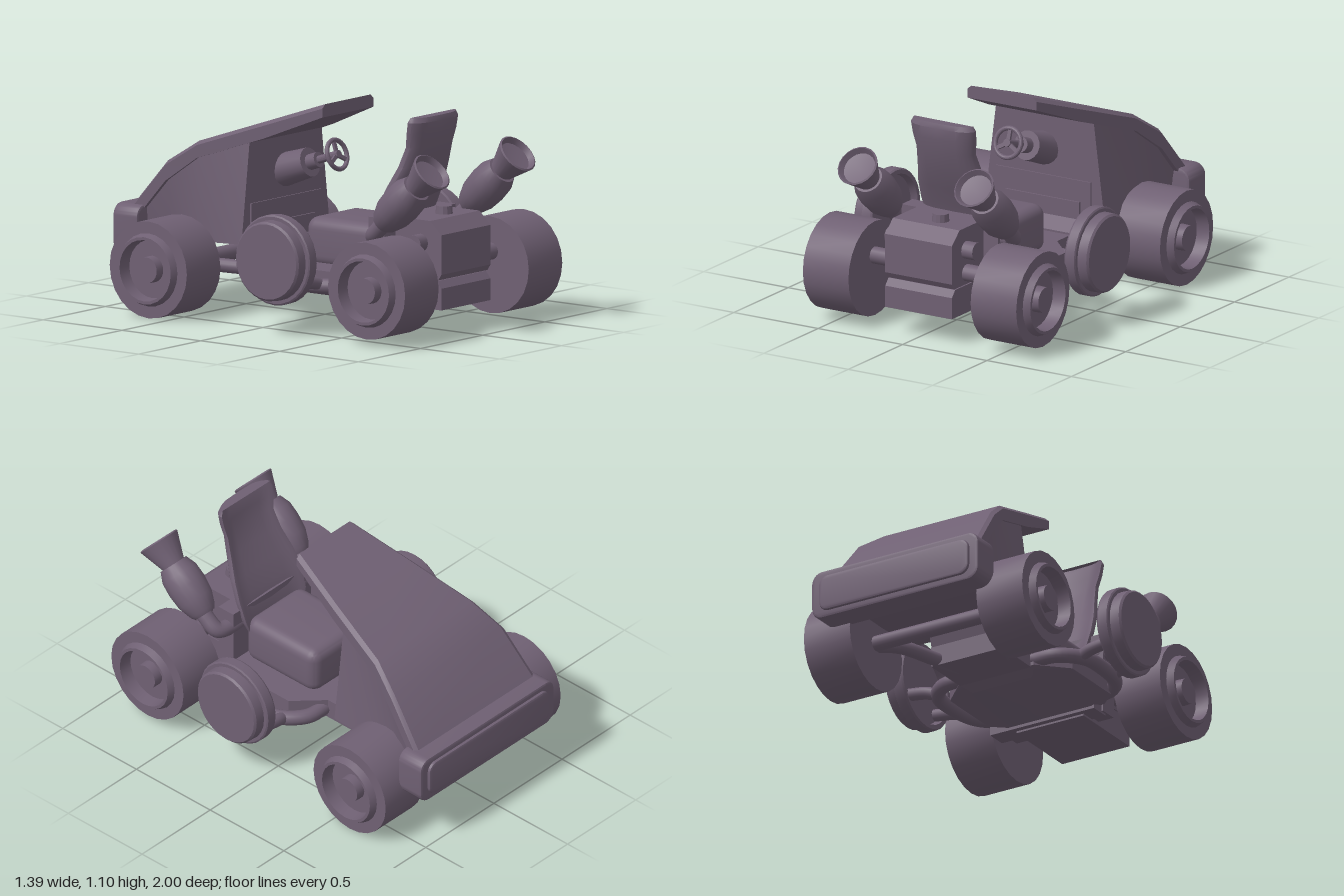
import * as THREE from 'three';
import { toCreasedNormals } from 'three/addons/utils/BufferGeometryUtils.js';
import { RoundedBoxGeometry } from 'three/addons/geometries/RoundedBoxGeometry.js';

const paint = new THREE.MeshStandardMaterial({ color: 0x6f6073 });
paint.name = 'dusty purple';
const CX = 0.025; // bodywork sits slightly off the wheel centreline

export function createModel() {
  const model = new THREE.Group();
  model.name = 'kart';

  const add = (name, geo, x = 0, y = 0, z = 0, parent = model) => {
    const m = new THREE.Mesh(toCreasedNormals(geo, 0.5), paint);
    m.name = name;
    m.position.set(x, y, z);
    parent.add(m);
    return m;
  };
  const box = (name, x0, x1, y0, y1, z0, z1) =>
    add(name, new THREE.BoxGeometry(x1 - x0, y1 - y0, z1 - z0), (x0 + x1) / 2, (y0 + y1) / 2, (z0 + z1) / 2);
  const lathe = (pts, n = 24) => new THREE.LatheGeometry(pts.map(p => new THREE.Vector2(...p)), n);
  const tube = (name, pts, r) =>
    add(name, new THREE.TubeGeometry(new THREE.CatmullRomCurve3(pts.map(p => new THREE.Vector3(...p))), 32, r, 16));
  // Profile in (z, y), extruded across x
  const across = (name, pts, x0, x1) => {
    const geo = new THREE.ExtrudeGeometry(new THREE.Shape(pts.map(p => new THREE.Vector2(...p))),
      { depth: x1 - x0, bevelEnabled: false });
    return add(name, geo.rotateY(-Math.PI / 2), x1);
  };
  // Solid skinned over closed rings, counter-clockwise about the direction of travel
  const loft = rings => {
    const n = rings[0].length, last = (rings.length - 1) * n, idx = [];
    for (let i = 0; i < rings.length - 1; i++)
      for (let j = 0; j < n; j++) {
        const k = (j + 1) % n, a = i * n + j, b = i * n + k;
        idx.push(a, b, b + n, a, b + n, a + n);
      }
    for (let j = 1; j < n - 1; j++) idx.push(0, j + 1, j, last, last + j, last + j + 1);
    const geo = new THREE.BufferGeometry();
    geo.setAttribute('position', new THREE.Float32BufferAttribute(rings.flat(2), 3));
    geo.setIndex(idx);
    return geo;
  };

  // Wheels: tread, protruding lip, recessed rim and hub; +y of the profile is outward
  const wheel = (name, x, y, z, side) => {
    const geo = lathe([[0, -0.135], [0.245, -0.135], [0.245, 0.135],
      [0.185, 0.135], [0.17, 0.17], [0.155, 0.17], [0.148, 0.1], [0.067, 0.1], [0.065, 0.15], [0, 0.15]]);
    add(name, geo.rotateZ(-side * Math.PI / 2), x, y, z);
  };
  for (const s of [-1, 1]) {
    wheel('engineWheel', 0.03 + s * 0.497, 0.28, 0.738, s);
    wheel('hoodWheel', s * 0.507, 0.249, -0.615, s);
  }
  const axle = (name, r, len, x, y, z) =>
    add(name, new THREE.CylinderGeometry(r, r, len, 16).rotateZ(Math.PI / 2), x, y, z);
  axle('engineAxle', 0.043, 0.8, 0.03, 0.35, 0.745);
  axle('hoodAxle', 0.04, 0.8, 0, 0.25, -0.615);

  // Engine block
  across('engineBlock', [[0.5, 0.29], [0.86, 0.29], [0.88, 0.32], [0.88, 0.52], [0.81, 0.585], [0.5, 0.585]], -0.18, 0.215);
  across('engineSump', [[0.45, 0.14], [0.88, 0.14], [0.88, 0.25], [0.85, 0.285], [0.45, 0.285]], -0.18, 0.215);
  axle('enginePegs', 0.045, 0.52, 0.02, 0.47, 0.75);
  add('fillerCap', new THREE.CylinderGeometry(0.04, 0.045, 0.05, 12), 0.045, 0.6, 0.72);

  // Chassis floor with tapered underside, neck to the nose, bulkhead behind the seat
  const half = [[0.25, 0.52], [0.36, 0.42], [0.36, 0.06], [0.22, -0.08]];
  const outline = [...half, ...half.map(([x, z]) => [-x, z]).reverse()];
  add('floor', loft([[0.165, 0.8], [0.2, 1], [0.3, 1]].map(([y, k]) =>
    outline.map(([x, z]) => [x * k, y, 0.22 + (z - 0.22) * k]))));
  box('floorNeck', -0.2, 0.22, 0.195, 0.3, -0.34, -0.07);
  across('floorRamp', [[-0.2, 0.29], [-0.2, 0.31], [-0.27, 0.37], [-0.36, 0.37], [-0.3, 0.2]], -0.2, 0.22);
  box('bulkhead', -0.27, 0.3, 0.16, 0.585, 0.49, 0.59);
  box('bulkheadFoot', -0.26, 0.35, 0.15, 0.2, 0.42, 0.53);

  // Seat cushion and contoured backrest
  add('seatCushion', new RoundedBoxGeometry(0.41, 0.25, 0.48, 4, 0.06), 0.02, 0.4, 0.25);
  const rows = [ // y, z, half width, half thickness
    [0.46, 0.475, 0.2, 0.02], [0.51, 0.483, 0.22, 0.025], [0.62, 0.522, 0.228, 0.028], [0.72, 0.568, 0.215, 0.03],
    [0.83, 0.62, 0.185, 0.027], [0.93, 0.655, 0.17, 0.024], [1.0, 0.67, 0.183, 0.024], [1.06, 0.68, 0.188, 0.022],
    [1.085, 0.682, 0.175, 0.012]];
  add('seatBack', loft(rows.map(([y, z, w, t]) => Array.from({ length: 24 }, (_, i) => {
    const a = i / 24 * Math.PI * 2, c = Math.cos(a), s = Math.sin(a);
    const u = Math.sign(c) * Math.abs(c) ** 0.45, v = Math.sign(s) * Math.abs(s) ** 0.45;
    return [CX + w * u, y, z - t * v - 0.04 * (u ** 4 - 0.5)];
  }))));

  // Hood shell, sweeping from the narrow roof lip down to the bumper
  const hood = [ // z, top y, half width, depth
    [0.125, 1.1, 0.205, 0.065], [-0.19, 0.99, 0.28, 0.085], [-0.55, 0.865, 0.36, 0.085],
    [-0.71, 0.755, 0.41, 0.1], [-0.91, 0.51, 0.442, 0.1]];
  add('hood', loft(hood.map(([z, y, w, t]) => [[-w, y - t], [-w, y - 0.02], [0.022 - w, y],
    [w - 0.022, y], [w, y - 0.02], [w, y - t]].map(([x, h]) => [CX + x, h, z]))));

  // Nose body under the hood
  const nose = [ // z, bottom y, bottom half width, top y, top half width
    [-0.27, 0.37, 0.355, 0.92, 0.285], [-0.55, 0.36, 0.355, 0.82, 0.345],
    [-0.71, 0.36, 0.355, 0.7, 0.39], [-0.89, 0.36, 0.4, 0.47, 0.42]];
  add('noseBody', loft(nose.map(([z, b, wb, t, wt]) => [[CX - wb, b, z], [CX - wt, t, z], [CX + wt, t, z], [CX + wb, b, z]])));
  box('firewallPanel', -0.26, 0.3, 0.38, 0.57, -0.28, -0.262);
  box('firewallStep', -0.2, 0.24, 0.37, 0.46, -0.28, -0.252);

  // Bumper bar with a raised face plate, both rounded rectangles seen from the end
  const plate = (name, w, h, r, z0, z1) => {
    const b = 0.012, x = w / 2 - b, y = h / 2 - b, shape = new THREE.Shape();
    shape.absarc(x - r, y - r, r, 0, Math.PI / 2);
    shape.absarc(r - x, y - r, r, Math.PI / 2, Math.PI);
    shape.absarc(r - x, r - y, r, Math.PI, Math.PI * 1.5);
    shape.absarc(x - r, r - y, r, Math.PI * 1.5, Math.PI * 2);
    add(name, new THREE.ExtrudeGeometry(shape, { depth: z1 - z0 - 2 * b, bevelSize: b, bevelThickness: b,
      bevelSegments: 2, curveSegments: 6 }), 0.03, 0.397, z0 + b);
  };
  plate('bumper', 0.98, 0.255, 0.05, -0.985, -0.83);
  plate('bumperFace', 0.88, 0.19, 0.04, -1, -0.95);

  // Steering wheel, column and housing
  const steering = new THREE.Group();
  steering.name = 'steering';
  steering.position.set(0.02, 0.815, 0.06);
  steering.rotation.x = -0.32;
  model.add(steering);
  add('steeringRim', new THREE.TorusGeometry(0.075, 0.012, 12, 24), 0, 0, 0, steering);
  for (let i = 0; i < 3; i++)
    add('steeringSpoke', new THREE.BoxGeometry(0.02, 0.07, 0.014).translate(0, 0.038, 0).rotateZ(i * Math.PI * 2 / 3), 0, 0, 0, steering);
  const shaft = (name, r0, r1, z0, z1) =>
    add(name, new THREE.CylinderGeometry(r0, r1, z0 - z1, 16).rotateX(Math.PI / 2), 0, 0, (z0 + z1) / 2, steering);
  shaft('steeringColumn', 0.02, 0.02, 0.015, -0.2);
  shaft('columnCollar', 0.04, 0.04, -0.12, -0.2);
  shaft('columnHousing', 0.075, 0.085, -0.18, -0.36);

  for (const s of [-1, 1]) {
    // Exhaust: feed pipe, muffler and flared horn
    const ex = 0.03 + s * 0.345;
    tube('exhaustPipe', [[0.03 + s * 0.15, 0.49, 0.53], [0.03 + s * 0.28, 0.49, 0.53], [ex - s * 0.015, 0.5, 0.545], [ex, 0.55, 0.6], [ex, 0.6, 0.65]], 0.042);
    const exhaust = new THREE.Group();
    exhaust.name = 'exhaust';
    exhaust.position.set(ex, 0.575, 0.62);
    exhaust.rotation.x = 0.815;
    model.add(exhaust);
    add('muffler', lathe([[0, -0.01], [0.055, -0.01], [0.07, 0.01], [0.095, 0.08], [0.102, 0.16],
      [0.098, 0.23], [0.075, 0.285], [0, 0.285]], 20), 0, 0, 0, exhaust);
    add('exhaustHorn', lathe([[0, 0.23], [0.055, 0.23], [0.06, 0.28], [0.108, 0.42], [0.1, 0.425],
      [0.085, 0.395], [0, 0.385]], 20), 0, 0, 0, exhaust);

    // Side drum: wide inner flange, shallow recess behind
    const drum = lathe([[0, -0.03], [0.19, -0.03], [0.2, -0.065], [0.222, -0.065], [0.228, -0.055],
      [0.228, -0.005], [0.22, 0], [0.203, 0], [0.2, 0.05], [0.19, 0.06], [0, 0.06]], 28);
    add('sideDrum', drum.rotateZ(-s * Math.PI / 2), s * 0.635, 0.38, 0.175);

    // Side rail loop, drum struts and hood wheel struts
    tube('sideRail', [[s * 0.2, 0.24, -0.05], [s * 0.33, 0.24, -0.04], [s * 0.43, 0.24, 0.06], [s * 0.445, 0.24, 0.2],
      [s * 0.42, 0.24, 0.36], [s * 0.34, 0.24, 0.45], [s * 0.2, 0.24, 0.47]], 0.038);
    for (const z of [0.03, 0.31])
      tube('drumStrut', [[s * 0.42, 0.24, z + 0.01], [s * 0.48, 0.26, z], [s * 0.62, 0.28, z]], 0.032);
    tube('wheelStrut', [[s * 0.15, 0.23, -0.2], [s * 0.2, 0.23, -0.36], [s * 0.28, 0.24, -0.54], [s * 0.4, 0.25, -0.61]], 0.036);
  }
  return model;
}
